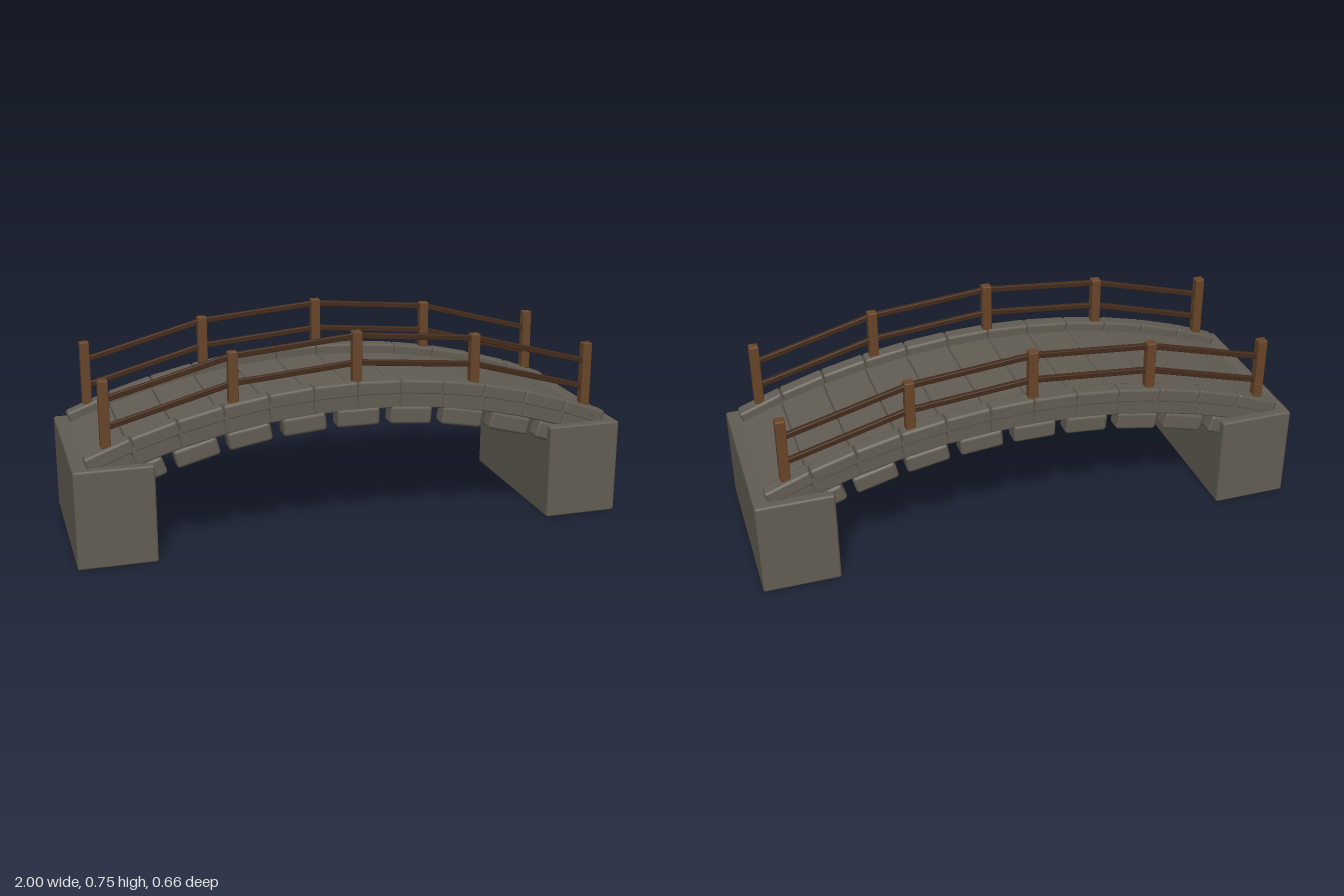
import * as THREE from 'three';
import { RoundedBoxGeometry } from 'three/addons/geometries/RoundedBoxGeometry.js';

const mat = (name, color) => {
  const m = new THREE.MeshStandardMaterial({ color });
  m.name = name;
  return m;
};

export function createModel() {
  const stone = mat('stone', 0x625d53);
  const wood = mat('post wood', 0x684529);
  const darkWood = mat('rail wood', 0x432b1b);
  const model = new THREE.Group();
  model.name = 'archedFootbridge';

  // Box with softly shaded bevelled edges
  function block(name, material, size, pos, bevel, tilt = 0) {
    const mesh = new THREE.Mesh(new RoundedBoxGeometry(...size, 1, bevel), material);
    mesh.name = name;
    mesh.position.set(...pos);
    mesh.rotation.z = tilt;
    model.add(mesh);
  }

  // Stone laid along a circular arc whose crown is at the given height
  function arcStone(name, x, crown, radius, size, z, bevel) {
    const y = crown - radius + Math.sqrt(radius * radius - x * x);
    block(name, stone, size, [x, y, z], bevel, -Math.asin(x / radius));
  }

  // Abutments
  for (const s of [-1, 1]) block('abutment', stone, [0.276, 0.351, 0.661], [s * 0.8625, 0.1755, 0], 0.008);

  // Full-width deck slabs with kerb stones along both edges
  const R = 2.47, count = 12, step = 1.9 / count;
  for (let i = 0; i < count; i++) {
    const x = (i - (count - 1) / 2) * step;
    const len = step / Math.sqrt(1 - (x / R) ** 2) + 0.002;
    arcStone('deckSlab', x, 0.503, R, [len, 0.066, 0.594], 0, 0.007);
    for (const s of [-1, 1]) arcStone('kerbStone', x, 0.545, R, [len, 0.054, 0.06], s * 0.269, 0.01);
  }

  // Spaced arch stones below
  for (const x of [-0.76, -0.575, -0.39, -0.195, 0, 0.195, 0.39, 0.575, 0.76])
    for (const s of [-1, 1]) arcStone('archStone', x, 0.445, 2.25, [0.157, 0.066, 0.068], s * 0.269, 0.012);

  // Railing posts: x, base height, top height, lower rail, upper rail
  const posts = [
    [-0.88, 0.41, 0.645, 0.478, 0.576],
    [-0.44, 0.51, 0.71, 0.598, 0.694],
    [0, 0.55, 0.75, 0.637, 0.733],
    [0.44, 0.51, 0.71, 0.598, 0.694],
    [0.88, 0.41, 0.645, 0.478, 0.576],
  ];
  for (const z of [-0.266, 0.266]) {
    posts.forEach((p, i) => {
      block('post', wood, [0.035, p[2] - p[1], 0.035], [p[0], (p[1] + p[2]) / 2, z], 0.004);
      if (i === 0) return;
      // Rails joining this post to the previous one
      const q = posts[i - 1];
      for (const k of [3, 4]) {
        const dx = p[0] - q[0], dy = p[k] - q[k];
        block('rail', darkWood, [Math.hypot(dx, dy), 0.02, 0.018],
          [(p[0] + q[0]) / 2, (p[k] + q[k]) / 2, z], 0.003, Math.atan2(dy, dx));
      }
    });
  }
  return model;
}
